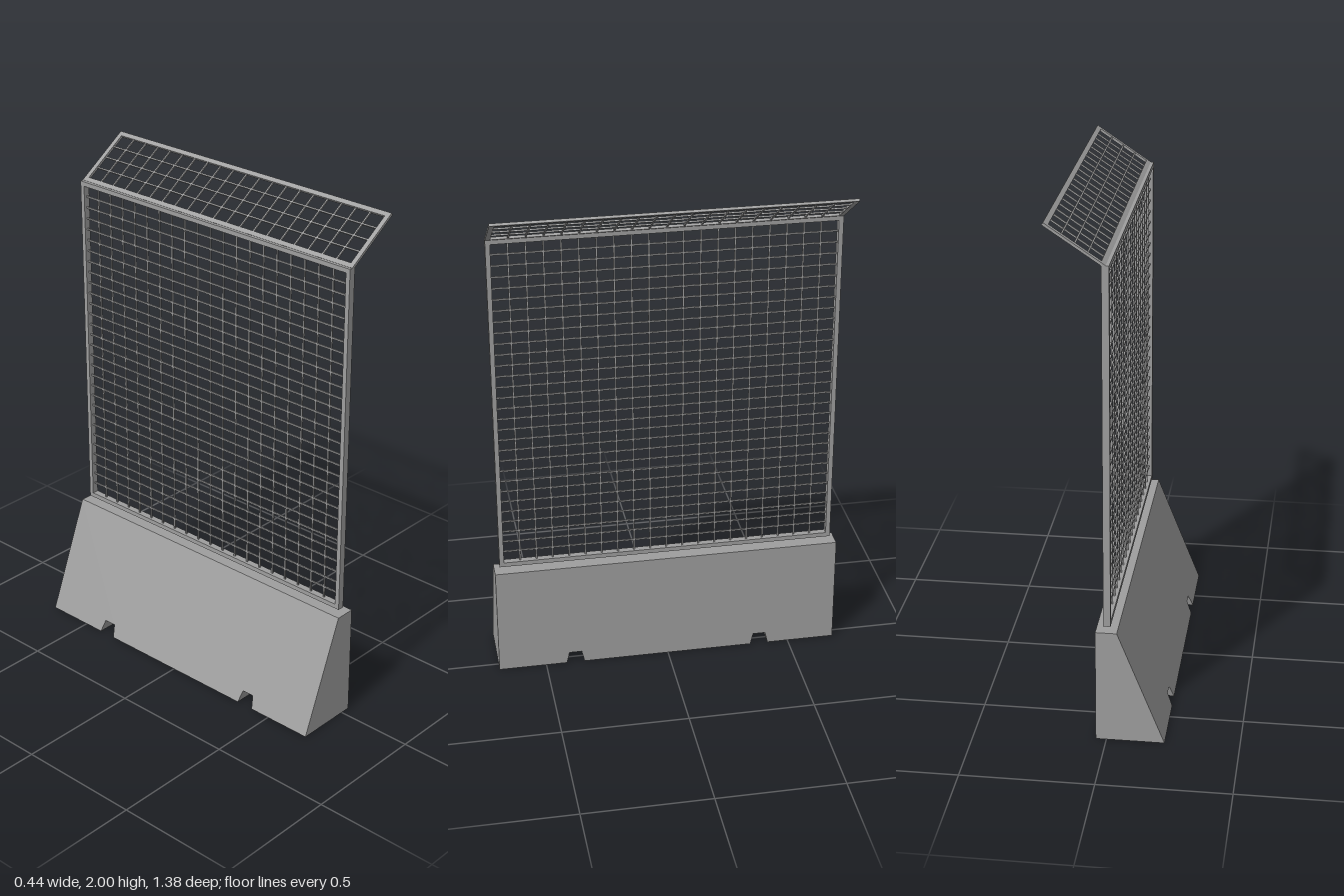
import * as THREE from 'three';

const grey = new THREE.MeshStandardMaterial({ color: 0x9e9e9e });
grey.name = 'concreteAndSteelGrey';

const LENGTH = 1.38, BASE_H = 0.45;
const BACK_FOOT = -0.219, BACK_TOP = -0.04, FACE = 0.04;

function part(geometry, name) {
  const mesh = new THREE.Mesh(geometry, grey);
  mesh.name = name;
  return mesh;
}

function polygon(points, Type = THREE.Shape) {
  return new Type(points.map(([x, y]) => new THREE.Vector2(x, y)));
}

// Barrier block: notched side outline, extruded, then its back sheared to a slope
function makeBase() {
  const h = LENGTH / 2;
  const points = [[-h, 0]];
  for (const c of [-0.38, 0.38]) {
    points.push([c - 0.036, 0], [c - 0.025, 0.048], [c + 0.025, 0.048], [c + 0.036, 0]);
  }
  points.push([h, 0], [h, BASE_H], [-h, BASE_H]);
  const geo = new THREE.ExtrudeGeometry(polygon(points), { depth: 1, bevelEnabled: false });
  geo.rotateY(Math.PI / 2);
  const p = geo.attributes.position;
  for (let i = 0; i < p.count; i++) {
    const back = THREE.MathUtils.lerp(BACK_FOOT, BACK_TOP, p.getY(i) / BASE_H);
    p.setX(i, THREE.MathUtils.lerp(back, FACE, p.getX(i)));
  }
  geo.computeVertexNormals();
  return part(geo, 'barrierBase');
}

// Wire panel standing on its lower edge: rectangular frame plus a grid of wires
function makePanel(name, width, height, depth, bar, cols, rows) {
  const group = new THREE.Group();
  group.name = name;
  const w = width / 2, wire = 0.006;
  const outline = polygon([[-w, 0], [w, 0], [w, height], [-w, height]]);
  outline.holes.push(polygon([
    [-w + bar, bar], [-w + bar, height - bar], [w - bar, height - bar], [w - bar, bar],
  ], THREE.Path));
  const frame = new THREE.ExtrudeGeometry(outline, { depth, bevelEnabled: false });
  frame.translate(0, 0, -depth / 2);
  group.add(part(frame, 'frame'));

  const innerW = width - 2 * bar, innerH = height - 2 * bar;
  const upright = new THREE.BoxGeometry(wire, innerH, wire);
  const cross = new THREE.BoxGeometry(innerW, wire, wire);
  for (let i = 1; i < cols; i++) {
    const m = part(upright, 'uprightWire');
    m.position.set(-innerW / 2 + (innerW * i) / cols, height / 2, 0);
    group.add(m);
  }
  for (let j = 1; j < rows; j++) {
    const m = part(cross, 'crossWire');
    m.position.set(0, bar + (innerH * j) / rows, 0);
    group.add(m);
  }
  group.rotation.order = 'ZYX';
  group.rotation.y = Math.PI / 2;
  return group;
}

export function createModel() {
  const model = new THREE.Group();
  model.name = 'fencedBarrier';
  model.add(makeBase());

  const fence = makePanel('mainFence', 1.338, 1.389, 0.027, 0.018, 20, 30);
  fence.position.set(-0.001, 0.466, 0);
  model.add(fence);

  // Overhanging top panel leaning towards +x
  const overhang = makePanel('overhang', 1.338, 0.258, 0.01, 0.019, 20, 4);
  overhang.position.set(0, 1.852, 0);
  overhang.rotation.z = -Math.atan2(0.214, 0.144);
  model.add(overhang);
  return model;
}
